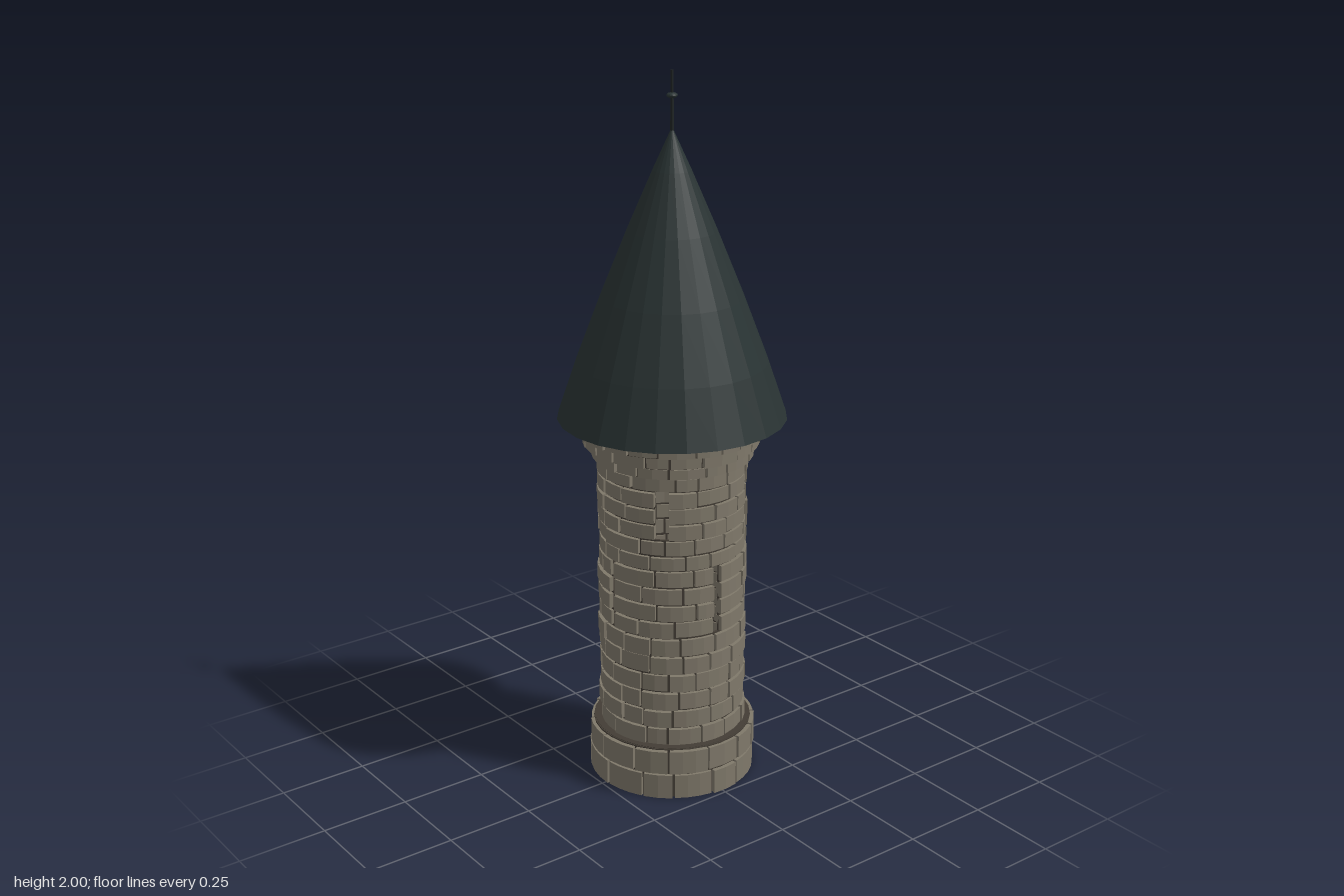
import * as THREE from 'three';
import { mergeGeometries } from 'three/addons/utils/BufferGeometryUtils.js';

const TAU = Math.PI * 2;

function material(name, color, extra = {}) {
  const m = new THREE.MeshStandardMaterial({ color, flatShading: true, ...extra });
  m.name = name;
  return m;
}

// Small seeded generator for irregular masonry
function seeded(seed) {
  return () => {
    seed = (seed * 16807) % 2147483647;
    return seed / 2147483647;
  };
}

// Box bent round the y axis: angle 0 faces +z, growing towards +x
function bentBlock(a0, a1, y0, y1, r0, r1) {
  const steps = Math.max(1, Math.ceil((a1 - a0) / 0.22));
  const g = new THREE.BoxGeometry(1, 1, 1, steps, 1, 1);
  const p = g.attributes.position;
  for (let i = 0; i < p.count; i++) {
    const a = a0 + (p.getX(i) + 0.5) * (a1 - a0);
    const r = r0 + (p.getZ(i) + 0.5) * (r1 - r0);
    p.setXYZ(i, Math.sin(a) * r, y0 + (p.getY(i) + 0.5) * (y1 - y0), Math.cos(a) * r);
  }
  g.computeVertexNormals();
  return g;
}

// Arrow slits: angle in degrees, width
const lowerSlits = [[0, 0.026], [90, 0.018], [180, 0.026], [270, 0.018]];
const upperSlits = [[45, 0.041], [315, 0.041]];

// Bands of courses: from, to, number of courses, outer radius, wall depth, stones per course, slits
const bands = [
  { name: 'base', y0: 0, y1: 0.15, rows: 2, r: 0.236, depth: 0.024, stones: 14 },
  { name: 'lowerShaft', y0: 0.15, y1: 0.48, rows: 6, r: 0.207, depth: 0.021, stones: 14 },
  { name: 'lowerSlitShaft', y0: 0.48, y1: 0.68, rows: 4, r: 0.207, depth: 0.021, stones: 14, slits: lowerSlits },
  { name: 'middleShaft', y0: 0.68, y1: 0.77, rows: 2, r: 0.207, depth: 0.021, stones: 14 },
  { name: 'upperSlitShaft', y0: 0.77, y1: 0.91, rows: 3, r: 0.207, depth: 0.021, stones: 14, slits: upperSlits },
  { name: 'topShaft', y0: 0.91, y1: 0.952, rows: 1, r: 0.207, depth: 0.021, stones: 14 },
  { name: 'corbelLower', y0: 0.952, y1: 0.987, rows: 1, r: 0.225, depth: 0.035, stones: 16 },
  { name: 'corbelMiddle', y0: 0.987, y1: 1.025, rows: 1, r: 0.244, depth: 0.035, stones: 18 },
  { name: 'corbelUpper', y0: 1.025, y1: 1.062, rows: 1, r: 0.265, depth: 0.035, stones: 20 },
];

// Arcs of wall left between the slits
function wallArcs(slits, r) {
  if (!slits) return null;
  return slits.map(([deg, w], i) => {
    const [nextDeg, nextW] = slits[(i + 1) % slits.length];
    const end = THREE.MathUtils.degToRad(nextDeg + (i === slits.length - 1 ? 360 : 0));
    return [THREE.MathUtils.degToRad(deg) + w / 2 / r, end - nextW / 2 / r];
  });
}

function buildBand(band, rand, stoneMat, mortarMat) {
  const { y0, y1, rows, r, depth, stones, slits } = band;
  const arcs = wallArcs(slits, r);
  const h = (y1 - y0) / rows;
  const blocks = [];
  for (let row = 0; row < rows; row++) {
    const shift = rand() * TAU;
    for (const [start, end] of arcs || [[shift, shift + TAU]]) {
      const n = Math.max(2, Math.round(((end - start) / TAU) * stones));
      // Uneven joints, keeping both ends of the arc fixed
      const stagger = arcs && row % 2 ? 0.25 : 0;
      const joints = [];
      for (let i = 0; i <= n; i++) {
        const t = i === 0 || i === n ? i : i + (rand() - 0.5) * 0.5 + stagger;
        joints.push(start + ((end - start) * t) / n);
      }
      const gap = 0.0035 / r;
      for (let i = 0; i < n; i++) {
        const a0 = joints[i] + (arcs && i === 0 ? 0 : gap);
        const a1 = joints[i + 1] - (arcs && i === n - 1 ? 0 : gap);
        const bottom = y0 + row * h + (y0 + row === 0 ? 0 : 0.002 + rand() * 0.003);
        const top = y0 + (row + 1) * h - 0.002 - rand() * 0.003;
        blocks.push(bentBlock(a0, a1, bottom, top, r - depth, r + (rand() - 0.5) * 0.007));
      }
    }
  }
  const group = new THREE.Group();
  group.name = band.name;
  const stonework = new THREE.Mesh(mergeGeometries(blocks), stoneMat);
  stonework.name = band.name + 'Stones';
  // Mortar core set back behind the stone faces
  const core = (arcs || [[0, TAU]]).map(([a, b]) => bentBlock(a, b, y0, y1, r - depth + 0.004, r - 0.01));
  const mortar = new THREE.Mesh(mergeGeometries(core), mortarMat);
  mortar.name = band.name + 'Mortar';
  group.add(stonework, mortar);
  return group;
}

export function createModel() {
  const stone = material('stone', 0x7f786a);
  const mortar = material('mortar', 0x433d35);
  const slate = material('slate', 0x293333, { side: THREE.DoubleSide });
  const iron = material('iron', 0x1f2424);

  const tower = new THREE.Group();
  tower.name = 'tower';
  const add = (name, geometry, mat, y = 0) => {
    const mesh = new THREE.Mesh(geometry, mat);
    mesh.name = name;
    mesh.position.y = y;
    tower.add(mesh);
    return mesh;
  };

  // Masonry
  const rand = seeded(4711);
  for (const band of bands) tower.add(buildBand(band, rand, stone, mortar));

  // Ledge closing the step between base and shaft
  add('baseLedge', bentBlock(0, TAU, 0.132, 0.151, 0.19, 0.222), mortar);

  // Conical roof with a very slight belly
  const profile = [[0.316, 1.062], [0.262, 1.22], [0.194, 1.4], [0.121, 1.58], [0.052, 1.74], [0.004, 1.845]]
    .map(([x, y]) => new THREE.Vector2(x, y));
  add('roof', new THREE.LatheGeometry(profile, 24), slate);
  add('roofUnderside', new THREE.CylinderGeometry(0.307, 0.312, 0.008, 24), stone, 1.067);

  // Finial
  add('finialRod', new THREE.CylinderGeometry(0.004, 0.005, 0.18, 8), iron, 1.91);
  add('finialBead', new THREE.SphereGeometry(0.015, 12, 8), slate, 1.935).scale.y = 0.5;

  return tower;
}
